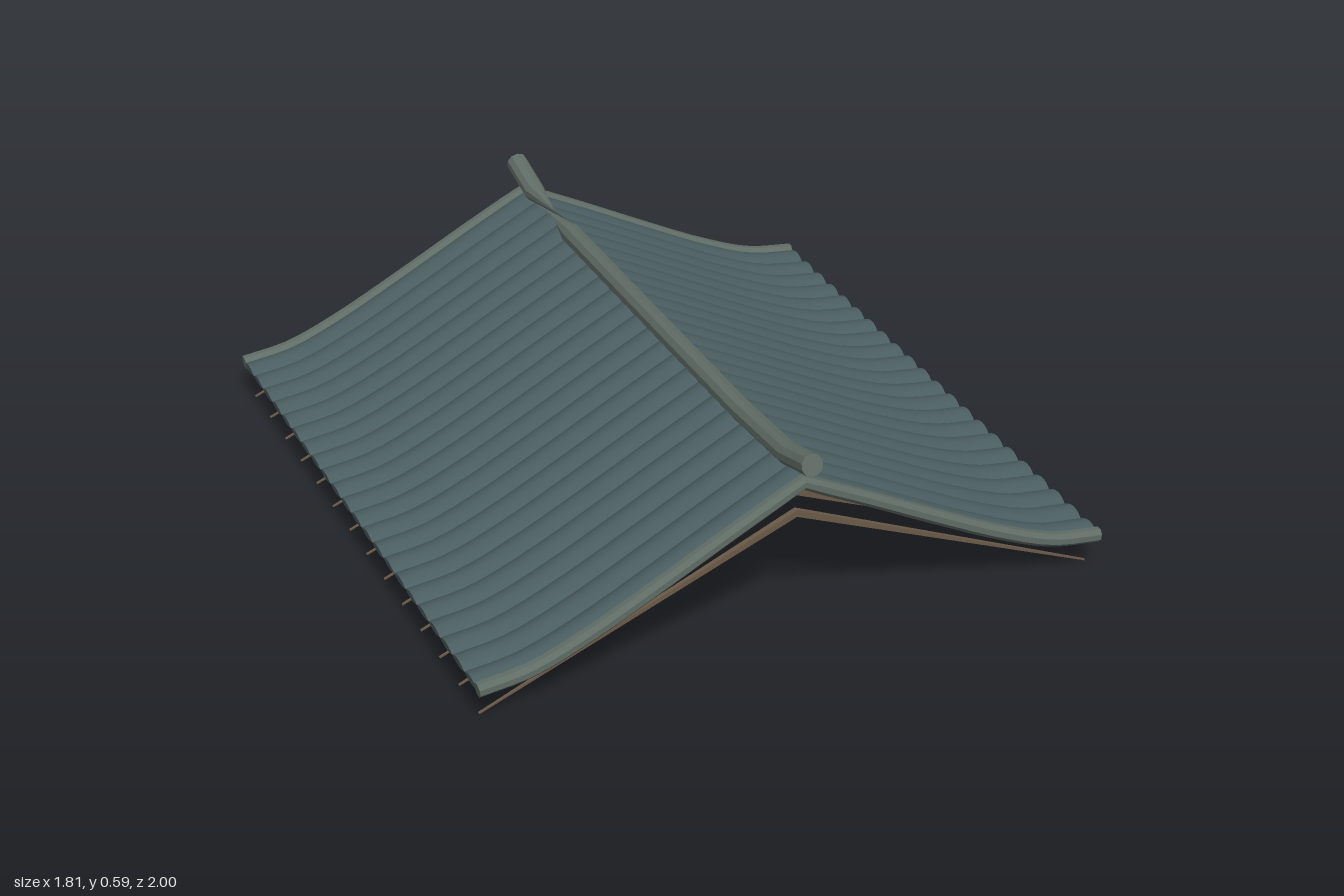
import * as THREE from 'three';
import { toCreasedNormals } from 'three/addons/utils/BufferGeometryUtils.js';

const V = (x, y, z) => new THREE.Vector3(x, y, z);
const AXIS_X = V(1, 0, 0), AXIS_Z = V(0, 0, 1);

const material = (color) => new THREE.MeshStandardMaterial({ color, side: THREE.DoubleSide });
const tileMat = material(0x4a5d60);
const rollMat = material(0x606c66);
const woodMat = material(0x6b5a48);

// Regular polygon section, optionally started some corners further round
const ring = (r, n, shift = 0) => Array.from({ length: n }, (_, i) => {
  const a = ((i + shift + 0.5) / n) * Math.PI * 2;
  return [r * Math.cos(a), r * Math.sin(a)];
});

// Sweeps a closed section (one per path point) along a path, with end caps
function sweep(path, section, side) {
  const pos = [], index = [];
  const n = section(0).length, last = path.length - 1;
  path.forEach((p, k) => {
    const tangent = path[Math.min(k + 1, last)].clone().sub(path[Math.max(k - 1, 0)]).normalize();
    const up = side.clone().cross(tangent);
    for (const [u, v] of section(k)) {
      const q = p.clone().addScaledVector(side, u).addScaledVector(up, v);
      pos.push(q.x, q.y, q.z);
    }
  });
  for (let k = 0; k < last; k++) {
    for (let i = 0; i < n; i++) {
      const j = (i + 1) % n;
      const a = k * n + i, b = k * n + j, c = b + n, d = a + n;
      index.push(a, d, c, a, c, b);
    }
  }
  for (let i = 1; i < n - 1; i++) {
    index.push(0, i, i + 1);
    index.push(last * n, last * n + i + 1, last * n + i);
  }
  const geo = new THREE.BufferGeometry();
  geo.setAttribute('position', new THREE.Float32BufferAttribute(pos, 3));
  geo.setIndex(index);
  return toCreasedNormals(geo, 0.6);
}

function add(parent, name, geo, mat, z = 0) {
  const mesh = new THREE.Mesh(geo, mat);
  mesh.name = name;
  mesh.position.z = z;
  parent.add(mesh);
  return mesh;
}

// Sagging slope from ridge to eave, mirrored into one path across the roof
function roofPath() {
  const half = new THREE.CatmullRomCurve3([
    V(0, 0.487, 0), V(0.2, 0.386, 0), V(0.4, 0.282, 0),
    V(0.6, 0.183, 0), V(0.76, 0.121, 0), V(0.905, 0.1, 0),
  ]).getPoints(16);
  const mirrored = half.slice(1).reverse().map((p) => V(-p.x, p.y, 0));
  return [...mirrored, ...half];
}

export function createModel() {
  const model = new THREE.Group();
  model.name = 'tiledRoof';
  const slope = roofPath();

  // Rows of rounded tiles running down both slopes
  const rows = 22, pitch = 1.87 / rows, arc = 6;
  const tileSection = [];
  for (let i = 0; i <= arc; i++) {
    const t = 1 - (2 * i) / arc;
    tileSection.push([t * pitch / 2, 0.015 * (1 - t * t)]);
  }
  for (let i = 1; i < arc; i++) {
    const t = -1 + (2 * i) / arc;
    tileSection.push([t * pitch / 2, -0.01 * (1 - t * t)]);
  }
  const tileGeo = sweep(slope, () => tileSection, AXIS_Z);
  const tiles = new THREE.Group();
  tiles.name = 'tileRows';
  for (let i = 0; i < rows; i++) {
    add(tiles, 'tileRow', tileGeo, tileMat, (i - (rows - 1) / 2) * pitch);
  }
  model.add(tiles);

  // Rolls that close the front and back gables
  const vergeGeo = sweep(slope, () => ring(0.021, 8), AXIS_Z);
  add(model, 'frontVerge', vergeGeo, rollMat, 0.94);
  add(model, 'backVerge', vergeGeo, rollMat, -0.94);

  // Ridge roll with upturned ends; the section turns and pinches near the back
  const ridgePath = [
    V(0, 0.563, 0.99), V(0, 0.525, 0.85), V(0, 0.51, 0.57),
    V(0, 0.51, -0.57), V(0, 0.525, -0.85), V(0, 0.563, -0.99),
  ];
  const ridgeGeo = sweep(ridgePath, (k) => ring(0.031, 10, k > 3 ? 4 : 0), AXIS_X);
  add(model, 'ridge', ridgeGeo, rollMat);

  // Pairs of thin rafters tapering towards the eaves
  const rafterPath = [V(-0.89, 0.003, 0), V(0, 0.377, 0), V(0.89, 0.003, 0)];
  const rafterGeo = sweep(rafterPath, (k) => {
    const w = k === 1 ? 0.008 : 0.003, h = k === 1 ? 0.01 : 0.002;
    return [[w, -h], [w, h], [-w, h], [-w, -h]];
  }, AXIS_Z);
  const rafters = new THREE.Group();
  rafters.name = 'rafters';
  for (let i = 0; i < 14; i++) {
    add(rafters, 'rafterPair', rafterGeo, woodMat, 0.905 - i * 0.1387);
  }
  model.add(rafters);

  return model;
}
